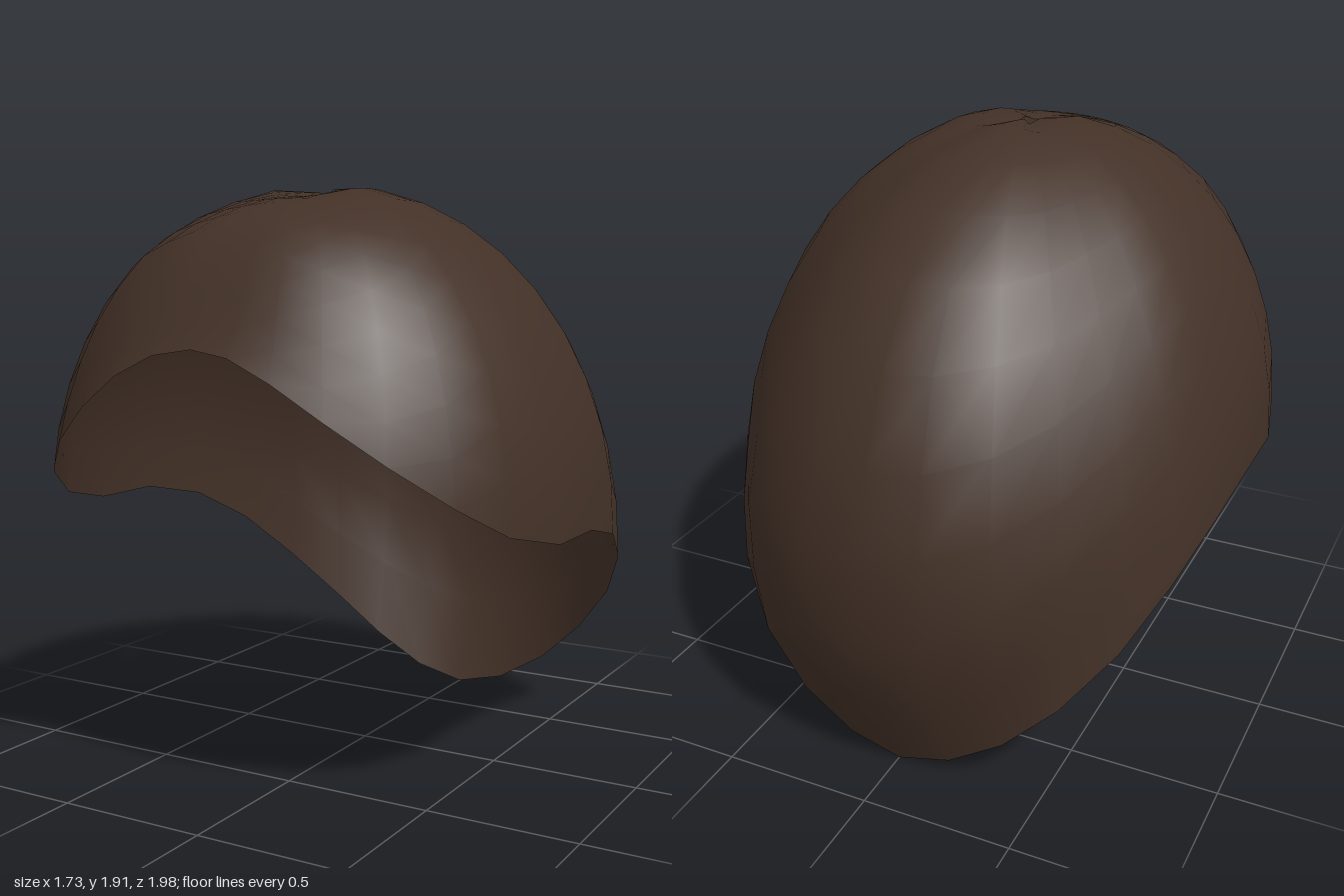
import * as THREE from 'three';

// Half of the rim, from front centre round the left side to the nape: x, y, z
const RIM = [
  [0, 1.425, 0.99], [0.13, 1.405, 1], [0.27, 1.34, 1], [0.42, 1.24, 0.97],
  [0.58, 1.12, 0.895], [0.72, 1, 0.77], [0.81, 0.9, 0.6], [0.865, 0.845, 0.36],
  [0.865, 0.845, 0.1], [0.84, 0.785, -0.17], [0.78, 0.66, -0.4], [0.68, 0.49, -0.58],
  [0.53, 0.31, -0.7], [0.36, 0.155, -0.75], [0.18, 0.045, -0.765], [0, 0, -0.77],
];
// Crown-to-rim profiles: fraction outward, fraction downward
const FRONT = [
  [0, 0.08], [0.1, 0.08], [0.22, 0.098], [0.34, 0.133], [0.466, 0.188], [0.59, 0.265],
  [0.685, 0.388], [0.77, 0.53], [0.85, 0.694], [0.93, 0.867], [1, 1],
];
const BACK = [
  [0, 0.005], [0.135, 0], [0.404, 0.024], [0.644, 0.079], [0.846, 0.163], [1.02, 0.273],
  [1.144, 0.41], [1.207, 0.546], [1.22, 0.693], [1.135, 0.845], [1, 1],
];
const SIDE = FRONT.map((_, j) => {
  const a = (j / 10) * Math.PI / 2;
  return [Math.sin(a), 1 - Math.cos(a) + (j === 0 ? 0.02 : 0)];
});
const TOP = 1.91, STEPS = 10, HALF = RIM.length - 1, COUNT = HALF * 2;

// Point on the shell: k runs round the head, j runs from crown slot to rim
function shellPoint(k, j) {
  const i = k <= HALF ? k : COUNT - k;
  const sign = k <= HALF ? 1 : -1;
  const [rx, ry, rz] = RIM[i];
  const front = THREE.MathUtils.smoothstep(1 - i / 7, 0, 1);
  const back = THREE.MathUtils.smoothstep((i - 10.5) / 4, 0, 1);
  const blend = (c) => FRONT[j][c] * front + BACK[j][c] * back + SIDE[j][c] * (1 - front - back);
  const u = blend(0), v = blend(1);
  const ux = u + (SIDE[j][0] - u) * back * 0.5;
  const angle = Math.atan2(rx, rz - 0.265);
  return [
    sign * (0.028 * Math.sin(angle) * (1 - ux) + rx * ux),
    TOP + (ry - TOP) * v,
    (0.265 + 0.065 * Math.cos(angle)) * (1 - u) + rz * u,
  ];
}

// Closed loops joined into a smooth surface
function loft(rows) {
  const n = rows[0].length, index = [];
  for (let j = 0; j < rows.length - 1; j++) {
    for (let k = 0; k < n; k++) {
      const a = j * n + k, c = j * n + (k + 1) % n;
      index.push(a, a + n, c, a + n, c + n, c);
    }
  }
  const geometry = new THREE.BufferGeometry();
  geometry.setAttribute('position', new THREE.Float32BufferAttribute(rows.flat(2), 3));
  geometry.setIndex(index);
  geometry.computeVertexNormals();
  return geometry;
}

export function createModel() {
  const model = new THREE.Group();
  model.name = 'hairCap';
  const brown = new THREE.MeshStandardMaterial({ color: 0x433127, side: THREE.DoubleSide });
  brown.name = 'darkBrown';

  // Main open shell
  const rows = [];
  for (let j = 0; j <= STEPS; j++) {
    rows.push(Array.from({ length: COUNT }, (_, k) => shellPoint(k, j)));
  }
  const shell = new THREE.Mesh(loft(rows), brown);
  shell.name = 'hairShell';

  // Short wall inside the crown slot
  const lower = rows[0].map(([x, y, z]) => [x * 0.9, y - 0.03, z]);
  const slot = new THREE.Mesh(loft([lower, rows[0]]), brown);
  slot.name = 'crownSlot';

  model.add(shell, slot);
  return model;
}
